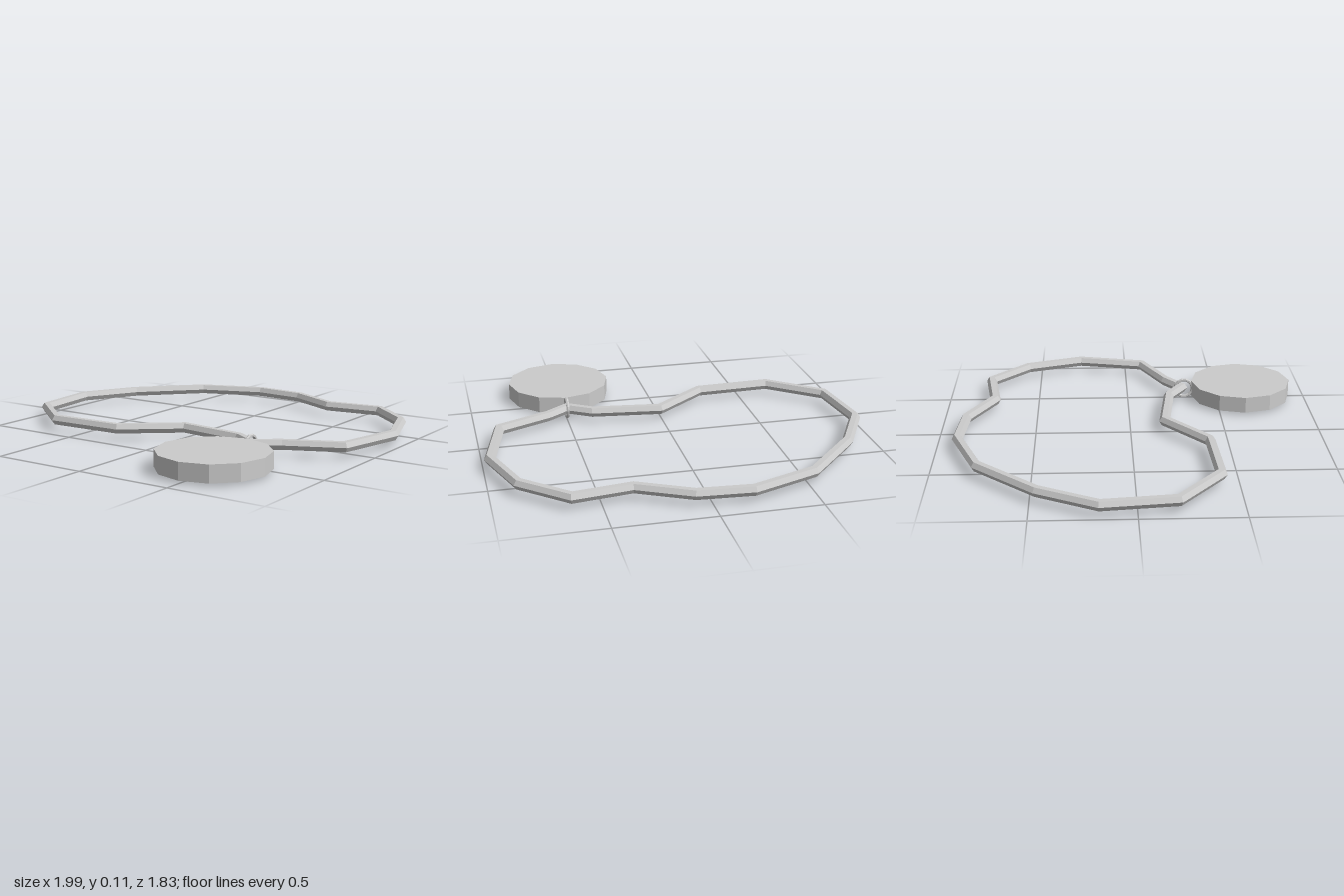
import * as THREE from 'three';

const material = new THREE.MeshStandardMaterial({ color: 0xcccccc, flatShading: true });

// Centre line of the cord in the ground plane, as [x, z]
const CORD = [
  [-0.195, -0.89], [0.08, -0.87], [0.345, -0.735], [0.64, -0.775], [0.86, -0.575],
  [0.965, -0.265], [0.885, 0.095], [0.612, 0.22], [0.497, 0.305], [0.37, 0.225],
  [0.01, 0.18], [-0.26, 0.395], [-0.66, 0.41], [-0.93, 0.19], [-0.97, -0.175],
  [-0.815, -0.465], [-0.53, -0.765],
].map(([x, z]) => new THREE.Vector2(x, z));

const CORD_Y = 0.062;

// Closed sweep of a regular section along a flat path, mitred at every corner
function mitredLoop(path, radius, sides, y) {
  const positions = [], indices = [];
  const n = path.length;
  path.forEach((p, i) => {
    const before = p.clone().sub(path[(i + n - 1) % n]).normalize();
    const after = path[(i + 1) % n].clone().sub(p).normalize();
    const n0 = new THREE.Vector2(before.y, -before.x);
    const n1 = new THREE.Vector2(after.y, -after.x);
    const miter = n0.clone().add(n1).normalize();
    miter.divideScalar(miter.dot(n1));
    for (let s = 0; s < sides; s++) {
      const a = (s / sides) * Math.PI * 2;
      const out = Math.cos(a) * radius;
      positions.push(p.x + miter.x * out, y + Math.sin(a) * radius, p.y + miter.y * out);
      const t = (s + 1) % sides, j = (i + 1) % n;
      const A = i * sides + s, B = i * sides + t, C = j * sides + t, D = j * sides + s;
      indices.push(A, B, C, A, C, D);
    }
  });
  const geometry = new THREE.BufferGeometry();
  geometry.setAttribute('position', new THREE.Float32BufferAttribute(positions, 3));
  geometry.setIndex(indices);
  geometry.computeVertexNormals();
  return geometry;
}

export function createModel() {
  const model = new THREE.Group();
  model.name = 'necklace';

  const add = (name, geometry, x, y, z) => {
    const mesh = new THREE.Mesh(geometry, material);
    mesh.name = name;
    mesh.position.set(x, y, z);
    model.add(mesh);
    return mesh;
  };

  // Hexagonal cord lying flat in a loose loop
  add('cord', mitredLoop(CORD, 0.028, 6, CORD_Y), 0, 0, 0);

  // Upright ring that joins the cord to the pendant
  const ring = add('ring', new THREE.TorusGeometry(0.049, 0.009, 6, 14), 0.497, 0.06, 0.318);
  ring.rotation.y = Math.PI / 2;

  // Twelve-sided pendant disc
  add('pendant', new THREE.CylinderGeometry(0.277, 0.277, 0.086, 12), 0.497, 0.059, 0.636);

  return model;
}
